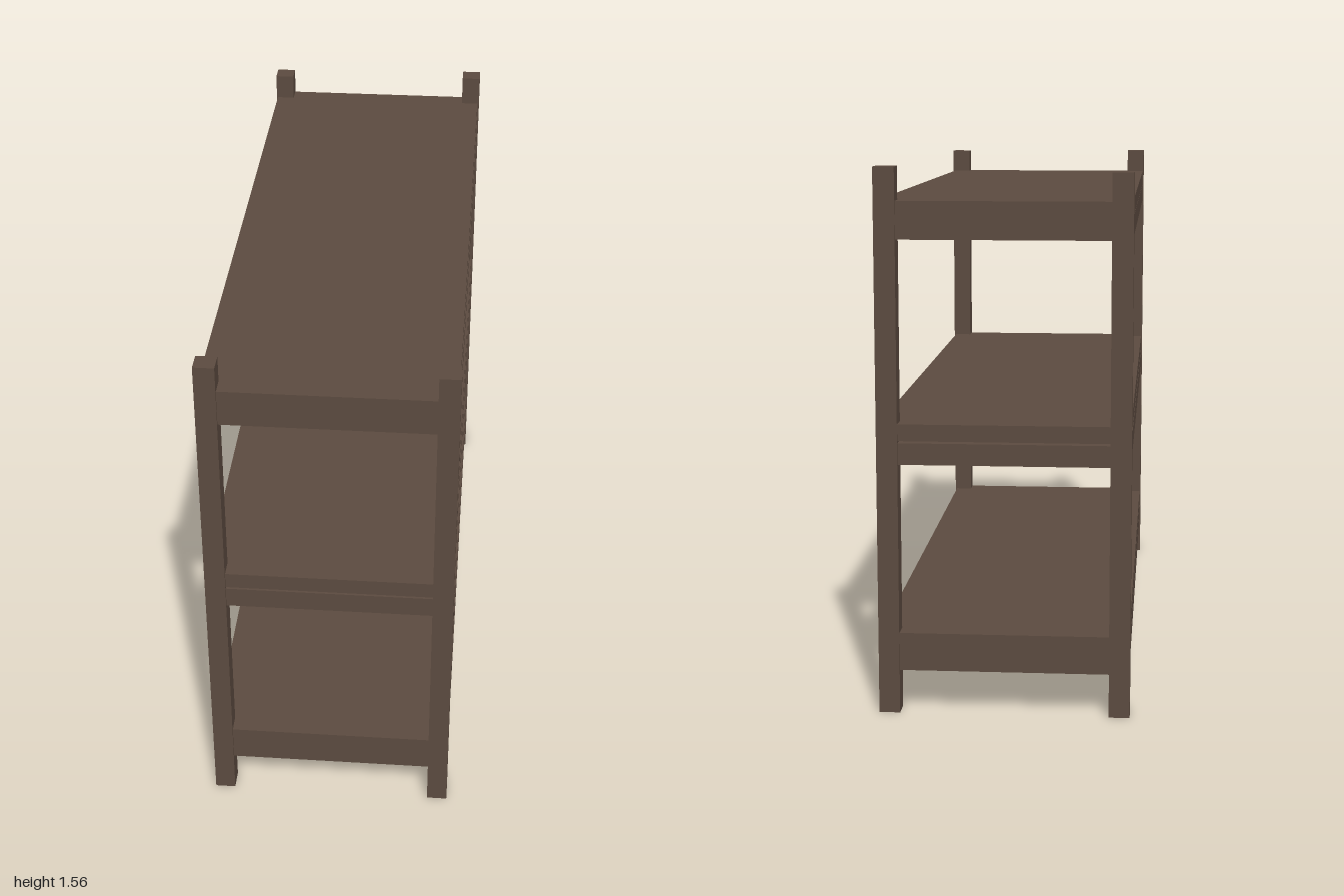
import * as THREE from 'three';

const POST = 0.06, HALF_X = 0.36, HALF_Z = 1.0;
const END_Z = 0.993;  // outer face of end rails and board ends
const SIDE_X = 0.357; // outer face of the long rails
const RAIL_W = 0.06;

export function createModel() {
  const model = new THREE.Group();
  model.name = 'shelvingUnit';
  const wood = new THREE.MeshStandardMaterial({ color: 0x5c4b40 });
  wood.name = 'dark brown wood';

  // Box given by its lower and upper y
  function box(parent, name, w, d, y0, y1, x, z) {
    const mesh = new THREE.Mesh(new THREE.BoxGeometry(w, y1 - y0, d), wood);
    mesh.name = name;
    mesh.position.set(x, (y0 + y1) / 2, z);
    parent.add(mesh);
  }

  // Corner posts, slightly uneven in height
  const px = HALF_X - POST / 2, pz = HALF_Z - POST / 2;
  box(model, 'frontLeftPost', POST, POST, 0, 1.543, px, pz);
  box(model, 'frontRightPost', POST, POST, 0, 1.546, -px, pz);
  box(model, 'backLeftPost', POST, POST, 0, 1.562, px, -pz);
  box(model, 'backRightPost', POST, POST, 0, 1.548, -px, -pz);

  // Three shelves: a frame of square rails under a board
  const levels = [
    { name: 'bottomShelf', rail: [0.125, 0.186], board: [0.186, 0.235] },
    { name: 'middleShelf', rail: [0.726, 0.788], board: [0.794, 0.842] }, // narrow gap above the rails
    { name: 'topShelf', rail: [1.361, 1.42], board: [1.42, 1.468] },
  ];
  const spanX = 2 * (HALF_X - POST), spanZ = 2 * (HALF_Z - POST);
  for (const { name, rail, board } of levels) {
    const shelf = new THREE.Group();
    shelf.name = name;
    box(shelf, 'board', 0.711, 2 * END_Z, ...board, -0.001, 0);
    for (const s of [1, -1]) {
      box(shelf, s > 0 ? 'leftRail' : 'rightRail', RAIL_W, spanZ, ...rail, s * (SIDE_X - RAIL_W / 2), 0);
      box(shelf, s > 0 ? 'frontRail' : 'backRail', spanX, RAIL_W, ...rail, 0, s * (END_Z - RAIL_W / 2));
    }
    model.add(shelf);
  }
  return model;
}
